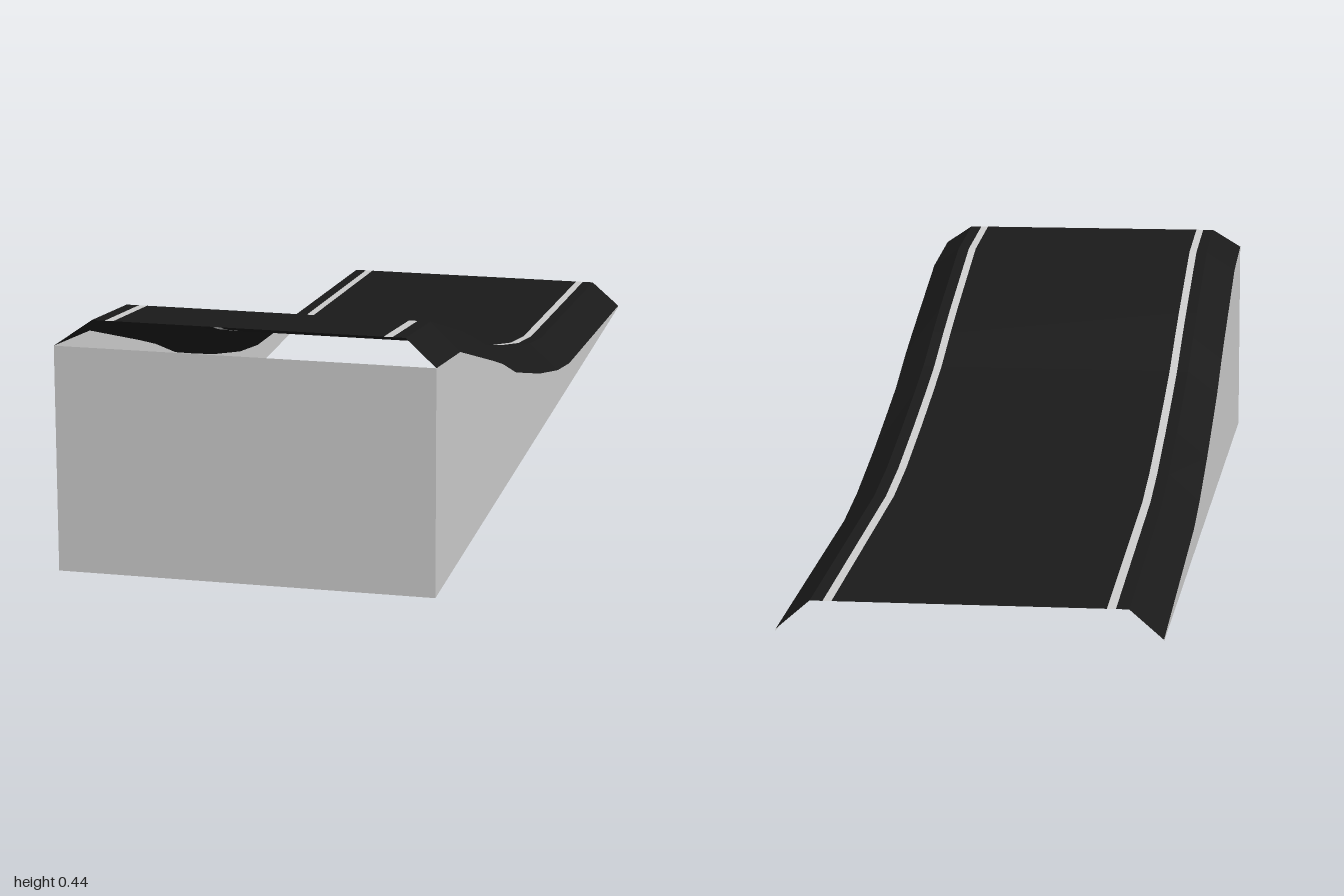
import * as THREE from 'three';

// Side profile of the ramp from front to back: [z, y]
const lowerEdge = [[1, 0.395], [0.8, 0.37], [0.5, 0.275], [0.4, 0.242], [0.27, 0.192], [0.15, 0.158],
  [0, 0.117], [-0.2, 0.07], [-0.34, 0.047], [-1, 0.003]];
const upperEdge = [[0.97, 0.435], [0.77, 0.412], [0.49, 0.323], [0.39, 0.288], [0.26, 0.239], [0.14, 0.205],
  [-0.01, 0.166], [-0.2, 0.121], [-0.345, 0.097], [-1, 0.053]];
const groundEdge = lowerEdge.map(([z]) => [z, 0]);

const HALF = 0.326, DECK = 0.268, STRIPE_OUT = 0.246, STRIPE_IN = 0.231;

const material = (color) =>
  new THREE.MeshStandardMaterial({ color, side: THREE.DoubleSide, flatShading: true });

// Sheet stretched between two rails, each a profile placed at a given x
function strip(name, mat, railA, xA, railB, xB) {
  const positions = [];
  const index = [];
  railA.forEach(([z, y], i) => {
    const [zB, yB] = railB[i];
    positions.push(xA, y, z, xB, yB, zB);
    if (i < railA.length - 1) {
      const k = 2 * i;
      index.push(k, k + 1, k + 3, k, k + 3, k + 2);
    }
  });
  const geometry = new THREE.BufferGeometry();
  geometry.setAttribute('position', new THREE.Float32BufferAttribute(positions, 3));
  geometry.setIndex(index);
  geometry.computeVertexNormals();
  const mesh = new THREE.Mesh(geometry, mat);
  mesh.name = name;
  return mesh;
}

export function createModel() {
  const group = new THREE.Group();
  group.name = 'roadRamp';
  const asphalt = material(0x1a1a1a);
  const paint = material(0xcccccc);
  const wall = material(0xcccccc);

  // Main lane between the painted lines
  group.add(strip('roadDeck', asphalt, upperEdge, -STRIPE_IN, upperEdge, STRIPE_IN));

  // Parts repeated on both sides, ordered so that faces point outward
  for (const [side, s] of [['left', 1], ['right', -1]]) {
    const add = (name, mat, inner, xIn, outer, xOut) => group.add(s > 0
      ? strip(side + name, mat, inner, xIn, outer, xOut)
      : strip(side + name, mat, outer, -xOut, inner, -xIn));
    add('Stripe', paint, upperEdge, STRIPE_IN, upperEdge, STRIPE_OUT);
    add('Shoulder', asphalt, upperEdge, STRIPE_OUT, upperEdge, DECK);
    add('Bevel', asphalt, upperEdge, DECK, lowerEdge, HALF);
    add('Wall', wall, lowerEdge, HALF, groundEdge, HALF);
  }

  // Upright wall under the high end
  const height = lowerEdge[0][1];
  const front = new THREE.Mesh(new THREE.PlaneGeometry(2 * HALF, height), wall);
  front.name = 'frontWall';
  front.position.set(0, height / 2, 1);
  group.add(front);

  return group;
}
